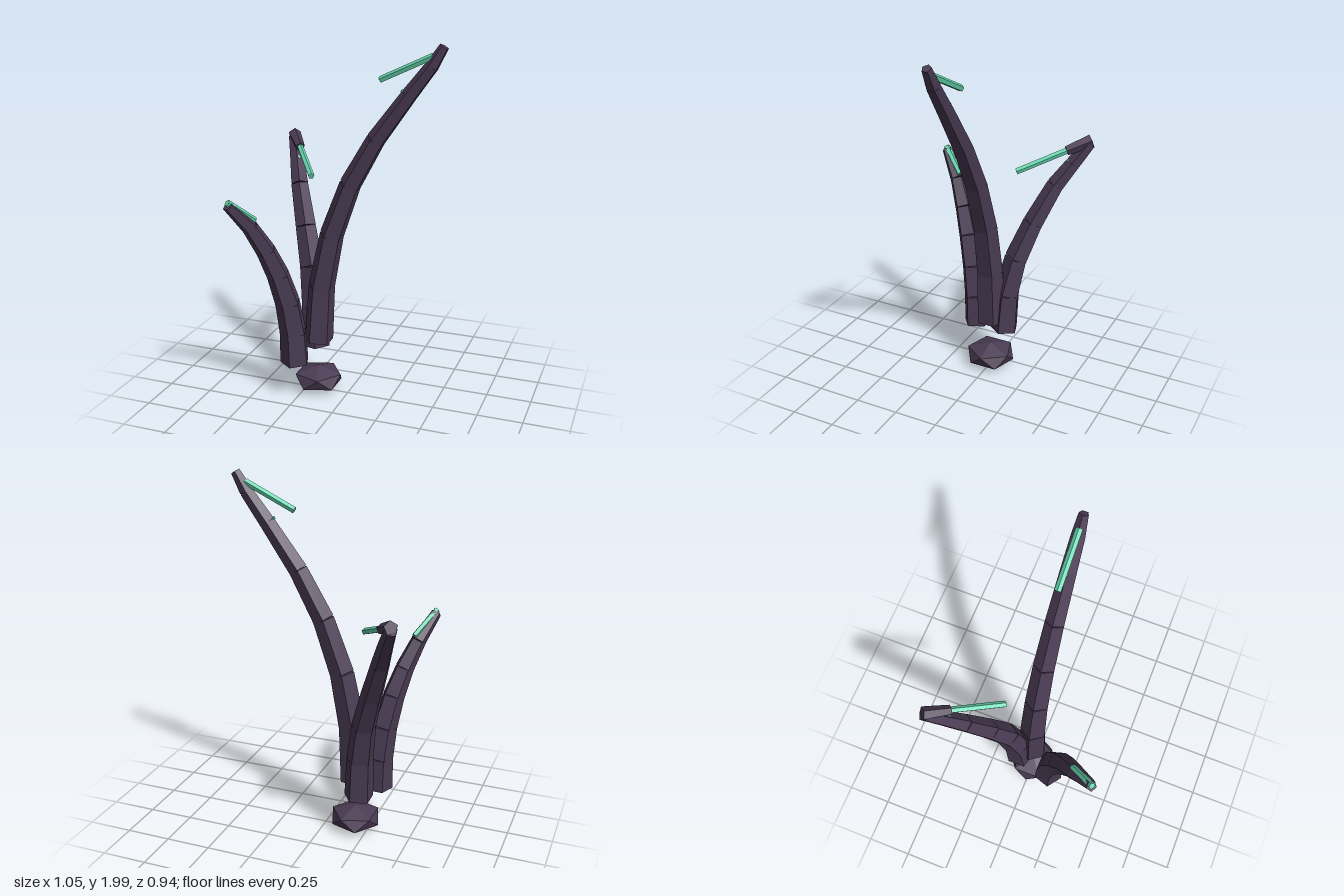
import * as THREE from 'three';
import { ConvexGeometry } from 'three/addons/geometries/ConvexGeometry.js';

const bark = new THREE.MeshStandardMaterial({ color: 0x4a3b53, flatShading: true });
bark.name = 'dark purple';
const glow = new THREE.MeshStandardMaterial({ color: 0x66d6ae, flatShading: true });
glow.name = 'mint green';

const V = (p) => new THREE.Vector3(...p);

// Five-sided tapered piece from a to b, with one ridge turned towards ref
function piece(name, a, b, ra, rb, ref, material) {
  const start = V(a), end = V(b);
  const dir = end.clone().sub(start);
  const length = dir.length();
  dir.normalize();
  const ridge = V(ref).addScaledVector(dir, -V(ref).dot(dir)).normalize();
  const side = new THREE.Vector3().crossVectors(dir, ridge);
  const mesh = new THREE.Mesh(new THREE.CylinderGeometry(rb, ra, length, 5), material);
  mesh.quaternion.setFromRotationMatrix(new THREE.Matrix4().makeBasis(side, dir, ridge));
  mesh.position.copy(start).add(end).multiplyScalar(0.5);
  mesh.name = name;
  return mesh;
}

// Stalk of separate segments; each ring is [x, y, z, radius]
function stalk(name, rings, ref) {
  const group = new THREE.Group();
  group.name = name;
  for (let i = 0; i < rings.length - 1; i++) {
    const a = rings[i], b = rings[i + 1];
    group.add(piece('segment' + (i + 1), a.slice(0, 3), b.slice(0, 3), a[3], b[3], ref, bark));
  }
  return group;
}

export function createModel() {
  const model = new THREE.Group();
  model.name = 'tentaclePlant';

  // Squashed twenty-sided root stone
  const points = [V([0, 0.0725, 0]), V([0, -0.0725, 0])];
  for (let i = 0; i < 5; i++) {
    const t = (i * Math.PI * 2) / 5, x = 0.135 * Math.cos(t), z = 0.135 * Math.sin(t);
    points.push(V([x, 0.0325, z]), V([-x, -0.0325, z]));
  }
  const root = new THREE.Mesh(new ConvexGeometry(points), bark);
  root.position.set(-0.178, 0.0775, 0);
  root.name = 'rootStone';
  model.add(root);

  // Tall stalk leaning left
  const tall = stalk('tallStalk', [
    [-0.175, 0.31, 0, 0.084], [-0.155, 0.635, 0, 0.077], [-0.093, 0.94, 0, 0.069],
    [0.013, 1.23, 0, 0.061], [0.155, 1.485, 0, 0.053], [0.328, 1.725, 0, 0.044],
    [0.445, 1.88, 0, 0.037], [0.505, 1.98, 0, 0.026],
  ], [-1, 0, 0]);
  tall.add(piece('spine', [0.45, 1.93, 0], [0.175, 1.8, 0], 0.018, 0.018, [0, 1, 0], glow));
  tall.add(piece('spineTip', [0.33, 1.73, 0], [0.288, 1.752, 0], 0.011, 0.009, [0, 1, 0], glow));

  // Back stalk with a curled tip
  const back = stalk('backStalk', [
    [-0.22, 0.245, -0.067, 0.084], [-0.228, 0.48, -0.08, 0.077], [-0.262, 0.7, -0.12, 0.069],
    [-0.325, 0.91, -0.19, 0.06], [-0.4, 1.13, -0.285, 0.05], [-0.448, 1.255, -0.365, 0.042],
    [-0.495, 1.37, -0.44, 0.034],
  ], [1, 0, 0]);
  back.add(piece('curledTip', [-0.497, 1.385, -0.445], [-0.415, 1.335, -0.335], 0.037, 0.027, [0, 1, 0], bark));
  back.add(piece('spine', [-0.42, 1.338, -0.342], [-0.255, 1.23, -0.11], 0.018, 0.018, [0, 1, 0], glow));
  back.add(piece('spineTip', [-0.448, 1.26, -0.365], [-0.425, 1.277, -0.34], 0.011, 0.009, [0, 1, 0], glow));

  // Short front stalk with its spine buried in the tip
  const front = stalk('frontStalk', [
    [-0.265, 0.215, 0.13, 0.084], [-0.268, 0.4, 0.14, 0.078], [-0.285, 0.58, 0.168, 0.072],
    [-0.318, 0.755, 0.215, 0.064], [-0.36, 0.905, 0.27, 0.055], [-0.415, 1.05, 0.34, 0.045],
    [-0.485, 1.19, 0.445, 0.03],
  ], [0, 0, 1]);
  front.add(piece('spine', [-0.487, 1.205, 0.448], [-0.4, 1.085, 0.315], 0.019, 0.017, [0, 1, 0], glow));

  model.add(tall, back, front);
  return model;
}
